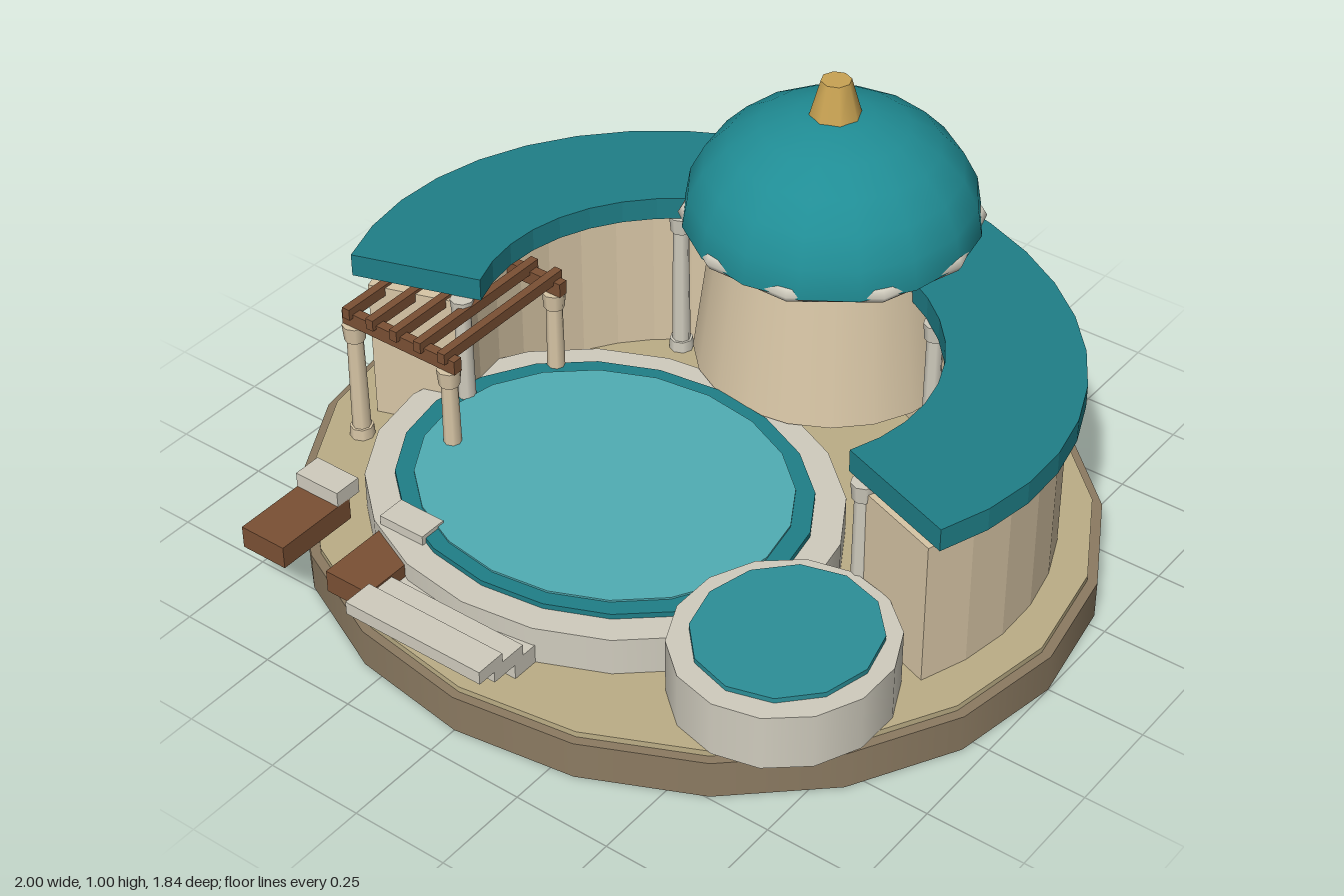
import * as THREE from 'three';

const mat = (color) => new THREE.MeshStandardMaterial({ color });
const M = {
  base: mat(0x8c7b62), sand: mat(0xbcae86), wall: mat(0xd8c6a6), stone: mat(0xd0ccbe),
  roof: mat(0x1f7f88), dome: mat(0x208d95), water: mat(0x50adb4), spa: mat(0x2c8f98),
  wood: mat(0x7a5034), gold: mat(0xc9a353),
};
const DEG = Math.PI / 180;

export function createModel() {
  const model = new THREE.Group();

  function add(name, geo, material, x = 0, y = 0, z = 0, parent = model) {
    const mesh = new THREE.Mesh(geo, material);
    mesh.name = name;
    mesh.position.set(x, y, z);
    parent.add(mesh);
    return mesh;
  }
  function group(name) {
    const g = new THREE.Group();
    g.name = name;
    model.add(g);
    return g;
  }
  // Box given by its extents on each axis
  function box(name, m, x0, x1, y0, y1, z0, z1, parent) {
    return add(name, new THREE.BoxGeometry(x1 - x0, y1 - y0, z1 - z0), m,
      (x0 + x1) / 2, (y0 + y1) / 2, (z0 + z1) / 2, parent);
  }
  // Upright cylinder or cone between two heights, optionally oval
  function drum(name, m, rTop, rBottom, y0, y1, x, z, sides, oval = 1, parent = model) {
    const geo = new THREE.CylinderGeometry(rTop, rBottom, y1 - y0, sides);
    geo.scale(1, 1, oval);
    return add(name, geo, m, x, (y0 + y1) / 2, z, parent);
  }
  // Oval arc slab, open towards the front
  function arcSlab(name, m, rIn, rOut, y0, y1) {
    const n = 24, from = -22 * DEG, to = 201 * DEG, outer = [], inner = [];
    for (let i = 0; i <= n; i++) {
      const a = from + (to - from) * i / n;
      const c = Math.cos(a), s = Math.sin(a) * 0.87;
      outer.push(new THREE.Vector2(rOut * c, rOut * s));
      inner.unshift(new THREE.Vector2(rIn * c, rIn * s));
    }
    const geo = new THREE.ExtrudeGeometry(new THREE.Shape([...outer, ...inner]),
      { depth: y1 - y0, bevelEnabled: false });
    geo.rotateX(-Math.PI / 2);
    add(name, geo, m, 0, y0, -0.03);
  }
  // Column with foot and capital
  function column(name, m, x, z, top, parent) {
    drum(name + 'Shaft', m, 0.02, 0.024, 0.11, top, x, z, 8, 1, parent);
    drum(name + 'Foot', m, 0.03, 0.032, 0.11, 0.145, x, z, 8, 1, parent);
    drum(name + 'Capital', m, 0.03, 0.026, top - 0.045, top, x, z, 8, 1, parent);
  }

  // Ground plinth
  drum('plinth', M.base, 1, 1, 0, 0.1, 0, 0, 20, 0.92);
  drum('sandTerrace', M.sand, 0.975, 0.975, 0.1, 0.115, 0, 0, 20, 0.92);

  // Curved building and its flat roof
  arcSlab('curvedWall', M.wall, 0.63, 0.88, 0.115, 0.5);
  arcSlab('curvedRoof', M.roof, 0.58, 0.92, 0.52, 0.58);

  // Columns along the inner edge of the roof
  const colonnade = group('colonnade');
  for (const s of [-1, 1]) {
    column('frontColumn', M.stone, s * 0.585, 0.17, 0.52, colonnade);
    column('rearColumn', M.stone, s * 0.38, -0.43, 0.52, colonnade);
  }

  // Domed tower
  const tz = -0.54;
  drum('towerDrum', M.wall, 0.29, 0.34, 0.22, 0.6, 0, tz, 20);
  drum('towerCollar', M.stone, 0.31, 0.31, 0.59, 0.615, 0, tz, 20);
  const domeGeo = new THREE.SphereGeometry(0.37, 16, 6, 0, Math.PI * 2, 0, Math.PI / 2);
  domeGeo.scale(1, 0.81, 1);
  add('dome', domeGeo, M.dome, 0, 0.615, tz);
  drum('domeUnderside', M.wood, 0.368, 0.368, 0.613, 0.616, 0, tz, 16);
  const ringGeo = new THREE.TorusGeometry(0.357, 0.02, 6, 10);
  ringGeo.rotateX(Math.PI / 2);
  add('domeRing', ringGeo, M.stone, 0, 0.62, tz);
  drum('finial', M.gold, 0.038, 0.068, 0.895, 1, 0, tz, 8);

  // Large oval pool
  const px = -0.105, pz = 0.235;
  drum('poolRim', M.stone, 0.6, 0.6, 0.115, 0.215, px, pz, 20, 0.87);
  drum('poolTileBand', M.roof, 0.525, 0.525, 0.2, 0.229, px, pz, 20, 0.86);
  drum('poolWater', M.water, 0.475, 0.475, 0.2, 0.234, px, pz, 20, 0.87);

  // Small raised round pool
  drum('spaRim', M.stone, 0.26, 0.26, 0.115, 0.262, 0.58, 0.457, 14, 1.05);
  drum('spaWater', M.spa, 0.215, 0.215, 0.25, 0.275, 0.58, 0.447, 12, 1.07);

  // Stone steps at the front
  const steps = group('steps');
  [[0.115, 0.165, 0.72, 0.8], [0.155, 0.195, 0.77, 0.87], [0.185, 0.22, 0.84, 0.92]]
    .forEach(([y0, y1, z0, z1]) => box('step', M.stone, -0.31, 0.085, y0, y1, z0, z1, steps));

  // Loungers with head rests
  for (const x of [-0.7, -0.435]) {
    const lounger = group('lounger');
    box('loungerBed', M.wood, x, x + 0.13, 0.14, 0.2, 0.62, 0.85, lounger);
    box('loungerHeadrest', M.stone, x, x + 0.13, 0.198, 0.24, 0.585, 0.66, lounger);
  }

  // Pergola
  const pergola = group('pergola');
  for (const z of [-0.06, 0.335]) {
    box('pergolaBeam', M.wood, -0.815, -0.46, 0.45, 0.488, z - 0.013, z + 0.013, pergola);
    for (const x of [-0.79, -0.49]) column('pergolaPost', M.wall, x, z, 0.45, pergola);
  }
  for (let i = 0; i < 5; i++) {
    const x = -0.79 + i * 0.075;
    box('pergolaRafter', M.wood, x - 0.011, x + 0.011, 0.478, 0.508, -0.08, 0.36, pergola);
  }

  return model;
}
